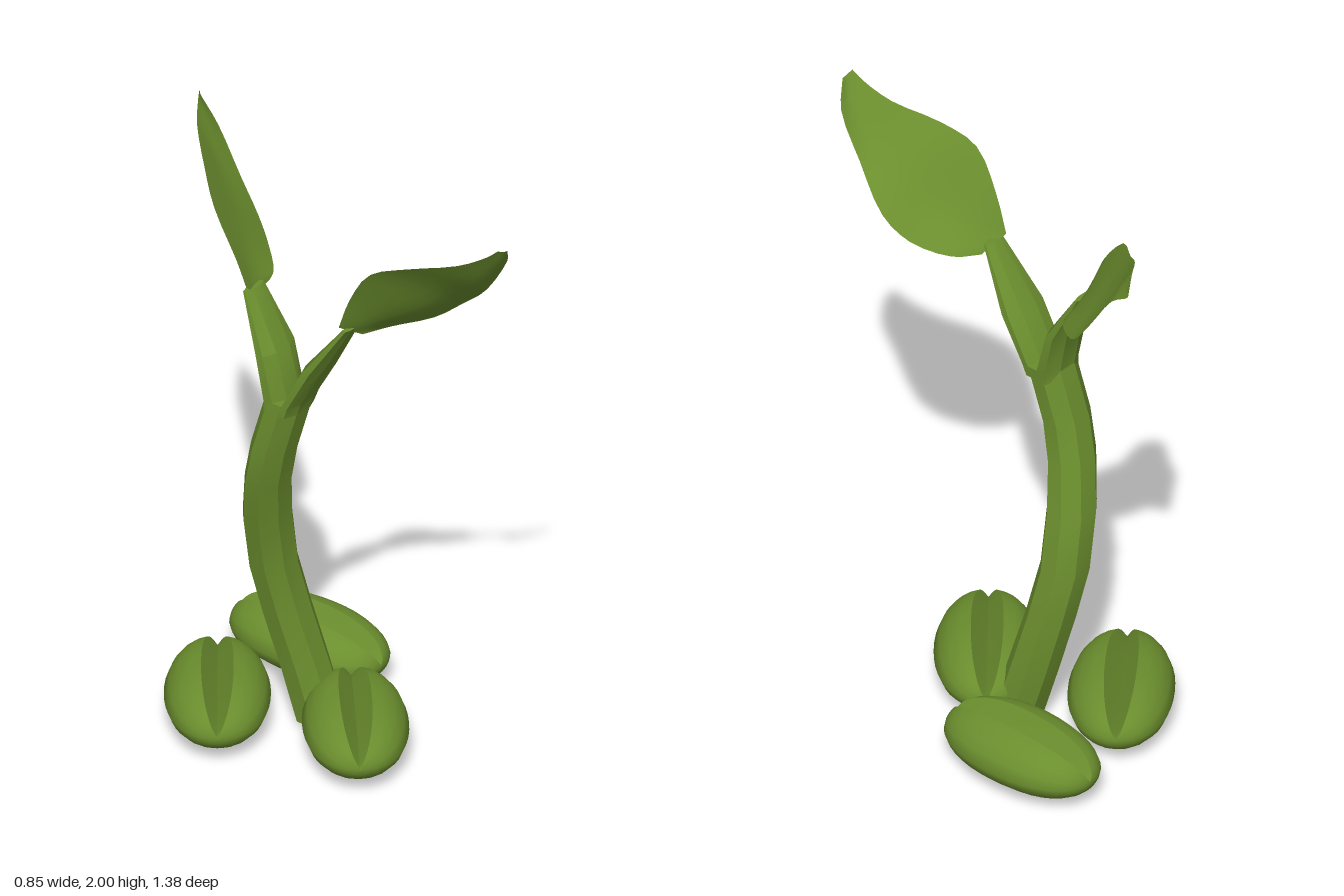
import * as THREE from 'three';
import { toCreasedNormals } from 'three/addons/utils/BufferGeometryUtils.js';

const V = (x, y, z) => new THREE.Vector3(x, y, z);

// Skin a list of equal-length point rows; closed joins each row into a ring.
function loft(rows, closed, crease) {
  const n = rows[0].length, index = [];
  for (let i = 0; i < rows.length - 1; i++) {
    for (let j = 0; j < (closed ? n : n - 1); j++) {
      const k = (j + 1) % n;
      const a = i * n + j, b = i * n + k, c = (i + 1) * n + k, d = (i + 1) * n + j;
      index.push(a, b, c, a, c, d);
    }
  }
  const geometry = new THREE.BufferGeometry().setFromPoints(rows.flat());
  geometry.setIndex(index);
  return toCreasedNormals(geometry, crease);
}

// Eight-sided stalk through horizontal rings [x, y, z, halfWidth, halfDepth], capped at both ends.
function stalk(rings) {
  const ring = ([x, y, z, w, d]) => Array.from({ length: 8 }, (_, j) => {
    const a = (j + 0.5) * Math.PI / 4, k = Math.cos(Math.PI / 8);
    return V(x + Math.cos(a) * w / k, y, z - Math.sin(a) * d / k);
  });
  const cap = ([x, y, z]) => ring([x, y, z, 0, 0]);
  const rows = [cap(rings[0]), ...rings.map(ring), cap(rings[rings.length - 1])];
  return loft(rows, true, 0.3);
}

// Bean along z: a grooved cross-section scaled by a rounded length profile.
function bean() {
  const half = [[0, 0.13], [0.025, 0.165], [0.05, 0.203], [0.085, 0.193], [0.12, 0.172], [0.148, 0.14],
    [0.164, 0.1], [0.148, 0.062], [0.11, 0.03], [0.06, 0.01], [0, 0.004]];
  const left = half.slice(1, -1).map(([u, v]) => [-u, v]);
  const section = [...half.slice().reverse(), ...left];
  const rows = [];
  for (let i = 0; i <= 20; i++) {
    const t = Math.sin((i / 20 - 0.5) * Math.PI);
    const f = Math.pow(Math.max(0, 1 - Math.pow(Math.abs(t), 2.2)), 1 / 2.2);
    rows.push(section.map(([u, v]) => V(u * f, 0.1 + (v - 0.1) * f, t * 0.28)));
  }
  return loft(rows, true, 0.9);
}

// Leaf blade from three guide curves: left edge, midrib and right edge.
function leaf(left, mid, right) {
  const [L, M, R] = [left, mid, right].map(p => new THREE.CatmullRomCurve3(p.map(q => V(...q))));
  const rows = [];
  for (let i = 0; i <= 18; i++) {
    const t = i / 18, l = L.getPoint(t), m = M.getPoint(t), r = R.getPoint(t);
    const across = new THREE.CatmullRomCurve3([l, m, r]);
    rows.push(across.getPoints(8));
  }
  return loft(rows, false, 1.2);
}

export function createModel() {
  const group = new THREE.Group();
  const green = new THREE.MeshStandardMaterial({ color: 0x6b8e2e, side: THREE.DoubleSide });
  green.name = 'leafGreen';
  const add = (name, geometry) => {
    const mesh = new THREE.Mesh(geometry, green);
    mesh.name = name;
    group.add(mesh);
    return mesh;
  };

  // Curved stem
  add('stem', stalk([
    [0.02, 0.02, -0.08, 0.078, 0.075], [0.005, 0.2, -0.13, 0.078, 0.075],
    [-0.03, 0.4, -0.173, 0.08, 0.072], [-0.062, 0.57, -0.2, 0.08, 0.071],
    [-0.103, 0.76, -0.19, 0.082, 0.07], [-0.14, 0.92, -0.158, 0.08, 0.065],
    [-0.152, 1.05, -0.125, 0.078, 0.065], [-0.138, 1.24, -0.075, 0.078, 0.065],
  ]));

  // Forked branches
  add('frontBranch', stalk([
    [-0.14, 1.2, -0.05, 0.076, 0.03], [-0.138, 1.24, -0.035, 0.078, 0.027],
    [-0.133, 1.386, 0.042, 0.078, 0.033], [-0.14, 1.57, 0.168, 0.038, 0.012],
  ]));
  add('backBranch', stalk([
    [-0.14, 1.2, -0.1, 0.076, 0.04], [-0.138, 1.24, -0.1, 0.078, 0.04],
    [-0.133, 1.386, -0.138, 0.078, 0.033], [-0.122, 1.56, -0.23, 0.045, 0.012],
  ]));

  // Leaves
  add('frontLeaf', leaf(
    [[-0.18, 1.58, 0.15], [-0.19, 1.7, 0.2], [-0.2, 1.83, 0.29], [-0.17, 1.88, 0.41],
      [-0.11, 1.92, 0.56], [-0.08, 1.97, 0.65], [-0.07, 2, 0.685]],
    [[-0.14, 1.555, 0.165], [-0.1, 1.6, 0.235], [-0.06, 1.67, 0.35], [-0.03, 1.75, 0.45],
      [-0.03, 1.83, 0.57], [-0.03, 1.93, 0.66], [-0.05, 1.99, 0.69]],
    [[-0.1, 1.53, 0.18], [-0.02, 1.54, 0.23], [0.05, 1.58, 0.34], [0.075, 1.65, 0.43],
      [0.035, 1.77, 0.56], [0.02, 1.91, 0.65], [-0.03, 1.985, 0.69]],
  ));
  add('backLeaf', leaf(
    [[-0.17, 1.58, -0.22], [-0.18, 1.67, -0.25], [-0.15, 1.8, -0.36], [-0.05, 1.86, -0.48],
      [0.04, 1.93, -0.58], [0.12, 1.955, -0.64], [0.19, 1.945, -0.69]],
    [[-0.13, 1.55, -0.225], [-0.1, 1.59, -0.25], [-0.03, 1.66, -0.34], [0.04, 1.72, -0.44],
      [0.08, 1.81, -0.53], [0.13, 1.91, -0.61], [0.19, 1.93, -0.687]],
    [[-0.08, 1.53, -0.235], [0, 1.54, -0.25], [0.08, 1.57, -0.33], [0.14, 1.62, -0.42],
      [0.155, 1.72, -0.5], [0.17, 1.86, -0.6], [0.19, 1.92, -0.68]],
  ));

  // Three beans around the foot of the stem
  const beanGeometry = bean();
  [['leftBean', 0.255, -0.31, 0], ['backBean', -0.18, -0.325, -0.9], ['frontBean', -0.06, 0.12, -0.85]]
    .forEach(([name, x, z, turn]) => {
      const mesh = add(name, beanGeometry);
      mesh.position.set(x, 0, z);
      mesh.rotation.y = turn;
    });

  return group;
}
